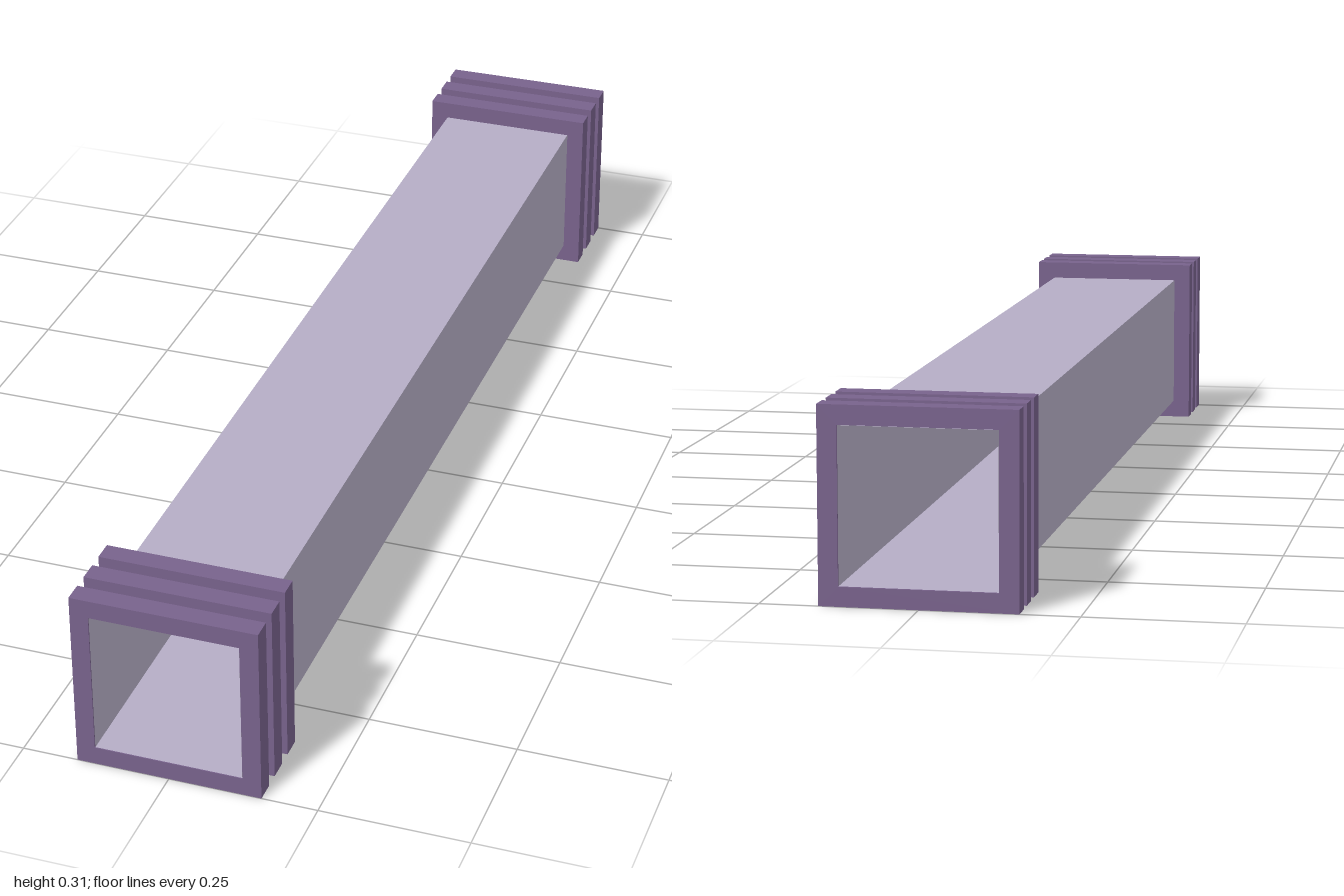
import * as THREE from 'three';

const CENTER_Y = 0.15625;
const OUTER = 0.15625; // half width of the collar rings
const INNER = 0.125;   // half width of the tunnel walls
const RING_DEPTH = 0.035;

function squarePath(path, h) {
  path.moveTo(-h, -h);
  path.lineTo(h, -h);
  path.lineTo(h, h);
  path.lineTo(-h, h);
  path.closePath();
  return path;
}

export function createModel() {
  const wallPaint = new THREE.MeshStandardMaterial({ color: 0xb5adc5, side: THREE.DoubleSide });
  wallPaint.name = 'pale lilac';
  const ringPaint = new THREE.MeshStandardMaterial({ color: 0x78628c });
  ringPaint.name = 'dusky purple';

  const model = new THREE.Group();
  model.name = 'squareTunnel';

  // Thin-walled square tube, open at both ends, just inside the rings
  const wallRadius = (INNER - 0.0006) * Math.SQRT2;
  const wallGeometry = new THREE.CylinderGeometry(wallRadius, wallRadius, 1.998, 4, 1, true, Math.PI / 4)
    .rotateX(Math.PI / 2)
    .toNonIndexed();
  wallGeometry.computeVertexNormals();
  const walls = new THREE.Mesh(wallGeometry, wallPaint);
  walls.name = 'tunnelWalls';
  walls.position.y = CENTER_Y;
  model.add(walls);

  // Square collar ring with an open middle
  const shape = squarePath(new THREE.Shape(), OUTER);
  shape.holes.push(squarePath(new THREE.Path(), INNER));
  const ringGeometry = new THREE.ExtrudeGeometry(shape, { depth: RING_DEPTH, bevelEnabled: false })
    .translate(0, 0, -RING_DEPTH / 2);

  // Three rings at each end
  for (const [end, side] of [['front', 1], ['back', -1]]) {
    const collar = new THREE.Group();
    collar.name = end + 'Collar';
    for (let i = 0; i < 3; i++) {
      const ring = new THREE.Mesh(ringGeometry, ringPaint);
      ring.name = end + 'Ring' + (i + 1);
      ring.position.set(0, CENTER_Y, side * (1 - RING_DEPTH / 2 - i * 0.06));
      collar.add(ring);
    }
    model.add(collar);
  }
  return model;
}
